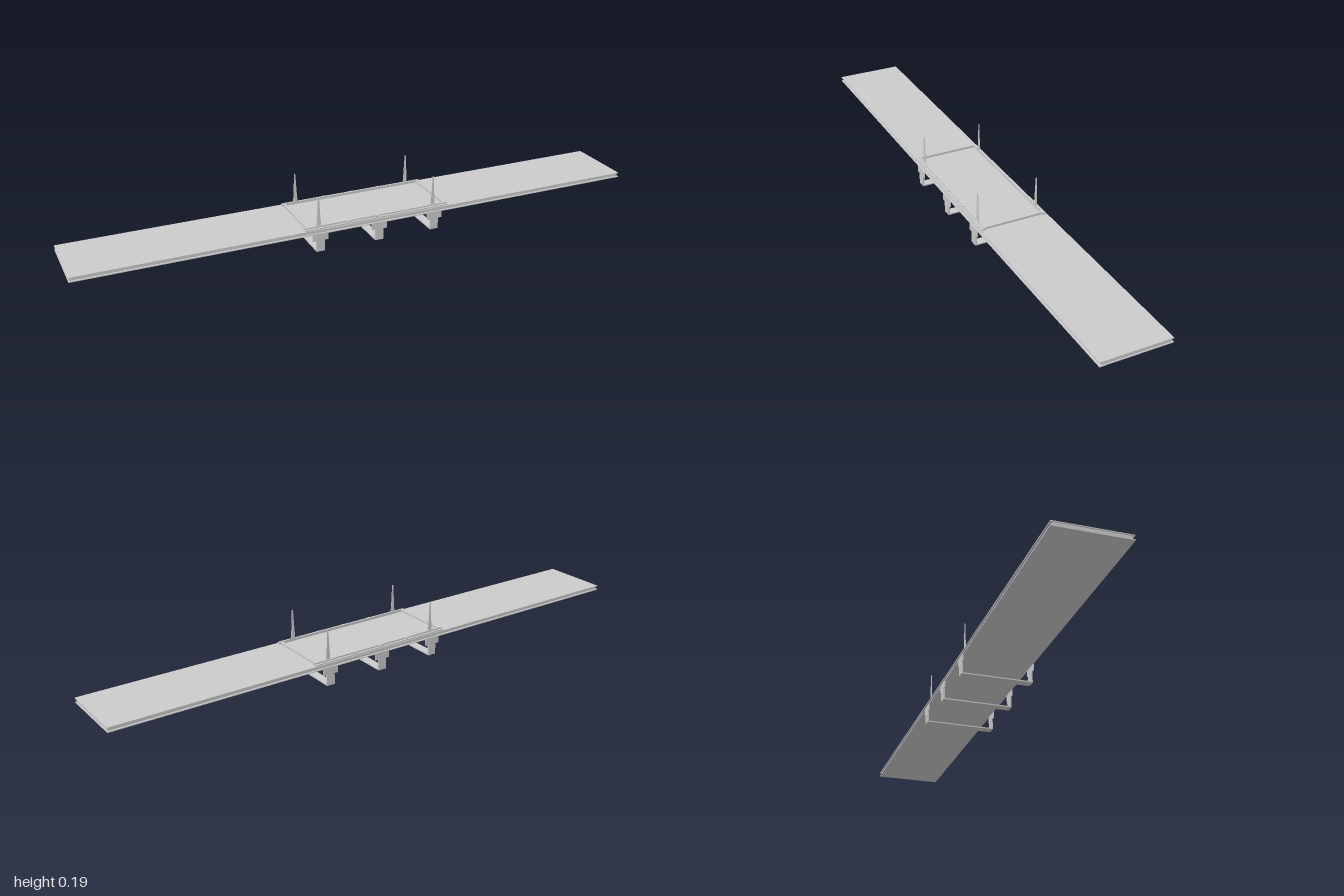
import * as THREE from 'three';

export function createModel() {
  const model = new THREE.Group();
  const material = new THREE.MeshStandardMaterial({ color: 0xcccccc, flatShading: true });

  // Box given by its limits on each axis
  function box(name, [x0, x1], [y0, y1], [z0, z1], parent = model) {
    const mesh = new THREE.Mesh(new THREE.BoxGeometry(x1 - x0, y1 - y0, z1 - z0), material);
    mesh.position.set((x0 + x1) / 2, (y0 + y1) / 2, (z0 + z1) / 2);
    mesh.name = name;
    parent.add(mesh);
    return mesh;
  }

  // Long deck: two plates around a slightly recessed core
  box('deckBottomPlate', [-1, 1], [0.061, 0.064], [-0.12, 0.12]);
  box('deckCore', [-0.997, 0.997], [0.064, 0.075], [-0.114, 0.114]);
  box('deckTopPlate', [-1, 1], [0.075, 0.078], [-0.12, 0.12]);

  // Raised frame in the middle of the deck
  const frame = new THREE.Group();
  frame.name = 'platformFrame';
  model.add(frame);
  for (const s of [-1, 1]) {
    const span = (a, b) => (s > 0 ? [a, b] : [-b, -a]);
    box('sideRailBase', [-0.235, 0.29], [0.078, 0.082], span(0.104, 0.117), frame);
    box('sideRail', [-0.235, 0.29], [0.082, 0.087], span(0.104, 0.11), frame);
    for (const x of [-0.08, 0.025, 0.13]) {
      box('railLug', [x - 0.006, x + 0.006], [0.082, 0.086], span(0.11, 0.114), frame);
    }
  }
  for (const x of [-0.226, 0.281]) {
    box('endRail', [x - 0.004, x + 0.004], [0.078, 0.086], [-0.105, 0.105], frame);
  }

  // Tapered upright fins at the frame corners
  const fin = new THREE.Shape([
    [-0.008, 0], [0.008, 0], [0.005, 0.045], [0.002, 0.103], [-0.002, 0.103], [-0.005, 0.045],
  ].map(([x, y]) => new THREE.Vector2(x, y)));
  const finGeometry = new THREE.ExtrudeGeometry(fin, { depth: 0.002, bevelEnabled: false });
  finGeometry.translate(0, 0, -0.001);
  for (const x of [-0.185, 0.235]) {
    for (const s of [-1, 1]) {
      const mast = new THREE.Mesh(finGeometry, material);
      mast.name = 'uprightFin';
      mast.position.set(x, 0.085, s * 0.106);
      model.add(mast);
      box('finRib', [x - 0.0015, x + 0.0015], [0.085, 0.128], s > 0 ? [0.103, 0.107] : [-0.107, -0.103]);
    }
  }

  // U-shaped hangers below the deck
  for (const x of [-0.185, 0.028, 0.235]) {
    const hanger = new THREE.Group();
    hanger.name = 'hanger';
    model.add(hanger);
    box('hangerCrossbar', [x - 0.015, x + 0.015], [0, 0.004], [-0.116, 0.116], hanger);
    for (const s of [-1, 1]) {
      const span = (a, b) => (s > 0 ? [a, b] : [-b, -a]);
      box('hangerLeg', [x - 0.015, x + 0.015], [0, 0.041], span(0.116, 0.121), hanger);
      box('hangerPlate', [x - 0.028, x + 0.028], [0.039, 0.065], span(0.118, 0.121), hanger);
    }
  }
  return model;
}
